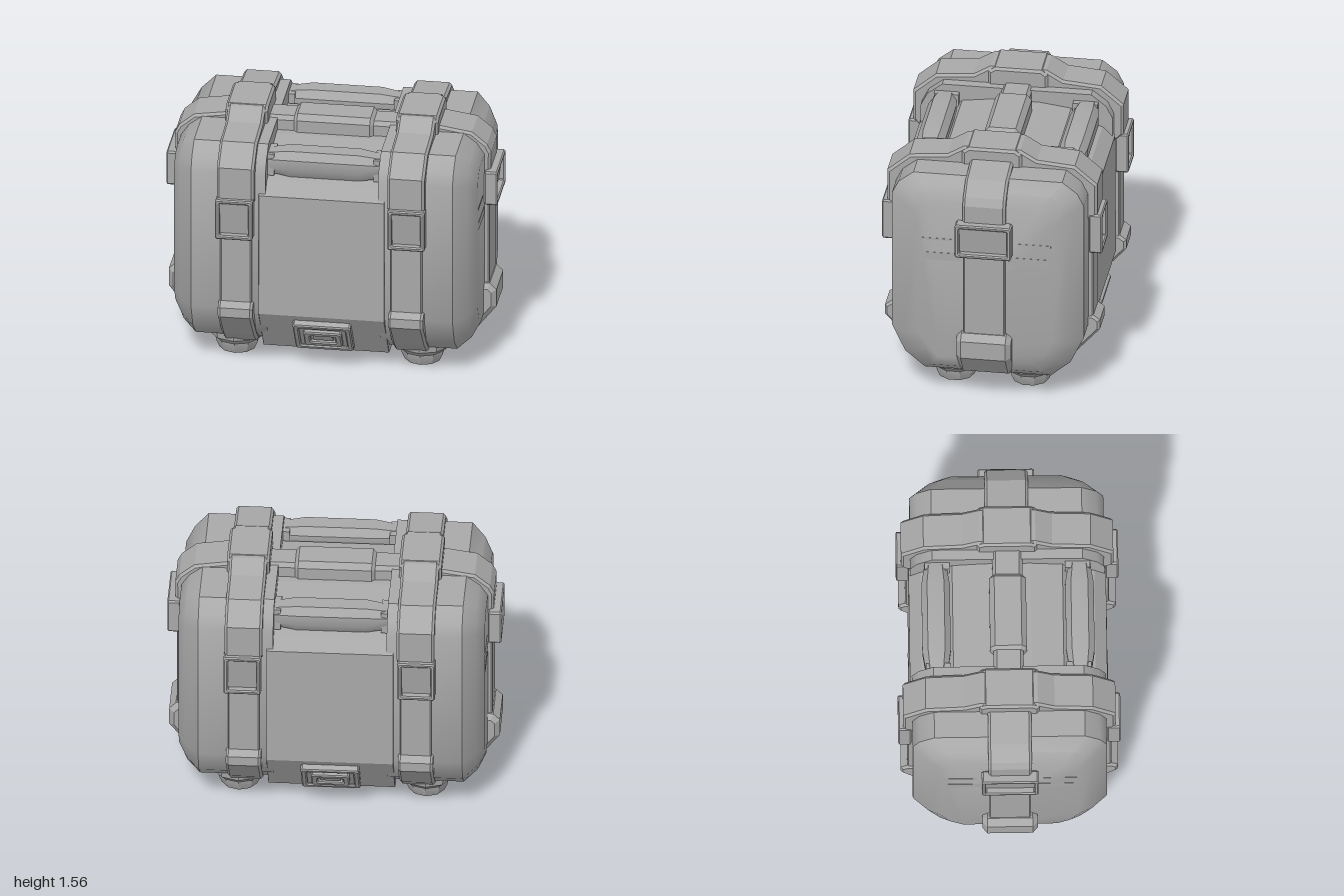
import * as THREE from 'three';
import { toCreasedNormals } from 'three/addons/utils/BufferGeometryUtils.js';

const grey = new THREE.MeshStandardMaterial({ color: 0xa8a8a8 });
grey.name = 'plain grey';

function add(parent, name, geo, x = 0, y = 0, z = 0) {
  const m = new THREE.Mesh(geo, grey);
  m.name = name;
  m.position.set(x, y, z);
  parent.add(m);
  return m;
}

// Mirror a half outline so it closes on itself
const both = pts => [...pts, ...pts.map(([u, v]) => [-u, v]).reverse()];
const toShape = pts => new THREE.Shape(pts.map(p => new THREE.Vector2(...p)));

// Bevelled slab centred on z = 0
function slab(shape, width, bevel = 0.015) {
  const geo = new THREE.ExtrudeGeometry(shape, {
    depth: width - 2 * bevel, steps: 1, curveSegments: 1,
    bevelThickness: bevel, bevelSize: bevel, bevelOffset: -bevel, bevelSegments: 1,
  });
  return geo.translate(0, 0, bevel - width / 2);
}

// Slab across x from a half outline of [z, y] points
const acrossX = (half, width, bevel) => slab(toShape(both(half)), width, bevel).rotateY(Math.PI / 2);

const rect = (w, h, c) => [
  [-w / 2 + c, -h / 2], [w / 2 - c, -h / 2], [w / 2, -h / 2 + c], [w / 2, h / 2 - c],
  [w / 2 - c, h / 2], [-w / 2 + c, h / 2], [-w / 2, h / 2 - c], [-w / 2, -h / 2 + c],
];

function frame(w, h, rim, depth) {
  const s = toShape(rect(w, h, 0.01));
  s.holes.push(new THREE.Path(rect(w - 2 * rim, h - 2 * rim, 0.005).map(p => new THREE.Vector2(...p))));
  return slab(s, depth, 0.008);
}

// Framed buckle with a tilted inner plate, facing +z
function buckle(parent, name, w, h, depth) {
  const g = new THREE.Group();
  g.name = name;
  add(g, 'buckleFrame', frame(w, h, 0.026, depth));
  const plate = add(g, 'bucklePlate', new THREE.BoxGeometry(w - 0.05, h - 0.045, 0.04), 0, 0, -0.008);
  plate.rotation.x = 0.14;
  parent.add(g);
  return g;
}

// Loft through [x, half outline] sections, capped at both ends
function loft(sections) {
  const rings = sections.map(([x, half]) => both(half).map(([z, y]) => [x, y, z]));
  const n = rings[0].length, idx = [], last = (rings.length - 1) * n;
  for (let r = 0; r < rings.length - 1; r++) {
    for (let i = 0; i < n; i++) {
      const j = (i + 1) % n, a = r * n + i, b = r * n + j;
      idx.push(a, a + n, b + n, a, b + n, b);
    }
  }
  for (let k = 1; k < n - 1; k++) idx.push(0, k, k + 1, last, last + k + 1, last + k);
  const geo = new THREE.BufferGeometry();
  geo.setAttribute('position', new THREE.Float32BufferAttribute(rings.flat(2), 3));
  geo.setIndex(idx);
  return toCreasedNormals(geo, 0.62);
}

// Hexagonal bar along x with tapered ends
function bar(halfLength, r, end) {
  return loft([-1, 1].flatMap(s => [[s * (halfLength + end), 0.75], [s * halfLength, 1]])
    .sort((a, b) => a[0] - b[0])
    .map(([x, k]) => [x, [[0.55, -1], [1, -0.3], [1, 0.45], [0.6, 1]].map(p => p.map(v => v * r * k))]));
}

// One end of the chest, at +x
function makeEnd() {
  const g = new THREE.Group();
  g.name = 'chestEnd';
  const full = [[0.38, 0.15], [0.5, 0.25], [0.58, 0.42], [0.58, 1.31], [0.54, 1.39], [0.45, 1.46]];
  add(g, 'endShell', loft([
    [0.34, full],
    [0.79, full],
    [0.87, [[0.33, 0.21], [0.42, 0.29], [0.49, 0.42], [0.49, 1.28], [0.46, 1.34], [0.39, 1.4]]],
    [0.917, [[0.28, 0.29], [0.36, 0.35], [0.41, 0.45], [0.41, 1.22], [0.39, 1.28], [0.33, 1.33]]],
  ]));

  // Strap running round the chest
  const sx = 0.515;
  add(g, 'strap', acrossX([[0.4, 0.2], [0.61, 0.4], [0.61, 1.3], [0.4, 1.46]], 0.19, 0.008), sx);
  add(g, 'strapSaddle', acrossX([[0.6, 1.13], [0.635, 1.17], [0.635, 1.37], [0.5, 1.485], [0.27, 1.505], [0.17, 1.565]], 0.225), sx);
  add(g, 'saddleCrown', acrossX([[0.18, 1.4], [0.18, 1.54], [0.14, 1.568]], 0.255), sx);
  add(g, 'strapCollar', acrossX([[0.38, 0.12], [0.48, 0.2], [0.65, 0.39], [0.65, 0.45], [0.61, 0.48]], 0.21), sx);

  // Strap down the end
  add(g, 'sideStrap', slab(toShape([[0.6, 0.3], [0.92, 0.3], [0.945, 0.4], [0.945, 1.1], [0.6, 1.1]]), 0.25, 0.008));
  add(g, 'sideSaddle', slab(toShape([[0.5, 1.1], [0.95, 1.1], [0.955, 1.34], [0.93, 1.39], [0.84, 1.465], [0.64, 1.495], [0.5, 1.495]]), 0.26));
  add(g, 'sideCollar', slab(toShape([[0.6, 0.15], [0.8, 0.15], [0.88, 0.19], [0.99, 0.33], [0.99, 0.44], [0.95, 0.48], [0.6, 0.48]]), 0.33, 0.03));
  const side = buckle(g, 'sideBuckle', 0.34, 0.22, 0.08);
  side.position.set(0.96, 1.12, 0);
  side.rotation.y = Math.PI / 2;

  // Front and back details
  for (const s of [1, -1]) {
    const b = buckle(g, 'strapBuckle', 0.225, 0.26, 0.08);
    b.position.set(sx + 0.005, 1.04, s * 0.625);
    if (s < 0) b.rotation.y = Math.PI;

    add(g, 'sideCrease', new THREE.BoxGeometry(0.008, 0.012, 0.2), 0.915, 1.085, s * 0.3);
    add(g, 'sideRidge', new THREE.BoxGeometry(0.008, 0.05, 0.24), 0.915, 0.97, s * 0.26);

    const profile = [[0, 0.02], [0.075, 0.02], [0.085, 0.005], [0.11, 0.005], [0.13, 0.05], [0.135, 0.075], [0.172, 0.11], [0.18, 0.17], [0.15, 0.23], [0, 0.28]];
    const foot = new THREE.LatheGeometry(profile.map(p => new THREE.Vector2(...p)), 10);
    add(g, 'foot', toCreasedNormals(foot, 0.5), 0.56, 0, s * 0.225);
  }
  return g;
}

// Latch on the sloping lower face
function makeLatch() {
  const g = new THREE.Group();
  g.name = 'latch';
  add(g, 'latchFrame', frame(0.35, 0.27, 0.035, 0.06));
  add(g, 'latchPlate', new THREE.BoxGeometry(0.3, 0.22, 0.03));
  add(g, 'latchRing', frame(0.23, 0.15, 0.04, 0.05), 0, 0, 0.015);
  add(g, 'latchKey', new THREE.BoxGeometry(0.12, 0.045, 0.03), 0, 0, 0.012);
  g.position.set(0, 0.245, 0.5);
  g.rotation.x = 0.61;
  return g;
}

export function createModel() {
  const model = new THREE.Group();
  model.name = 'strappedChest';

  // Both ends
  for (const turn of [0, Math.PI]) {
    const end = makeEnd();
    end.rotation.y = turn;
    model.add(end);
  }

  // Middle of the chest with a stepped, sunken top
  add(model, 'middleBody', acrossX([
    [0.39, 0.1], [0.595, 0.4], [0.59, 1.18], [0.52, 1.25], [0.4, 1.28], [0.33, 1.36], [0.14, 1.385],
  ], 0.76, 0.002));
  add(model, 'basePlate', new THREE.BoxGeometry(0.5, 0.02, 0.4), 0, 0.1, 0);

  // Centre grip
  add(model, 'centreGrip', acrossX([[0.11, 1.36], [0.11, 1.46], [0.08, 1.495]], 0.48, 0.02));
  add(model, 'gripMount', acrossX([[0.09, 1.35], [0.09, 1.45], [0.07, 1.475]], 0.82, 0.005));

  // Corner rails, latches and rail mounts on front and back
  for (const turn of [0, Math.PI]) {
    const g = new THREE.Group();
    g.name = 'faceDetails';
    add(g, 'rail', bar(0.21, 0.085, 0.14), 0, 1.35, 0.43);
    for (const s of [1, -1]) {
      add(g, 'railMount', new THREE.BoxGeometry(0.07, 0.14, 0.15), s * 0.335, 1.345, 0.42);
    }
    g.add(makeLatch());
    g.rotation.y = turn;
    model.add(g);
  }
  return model;
}
